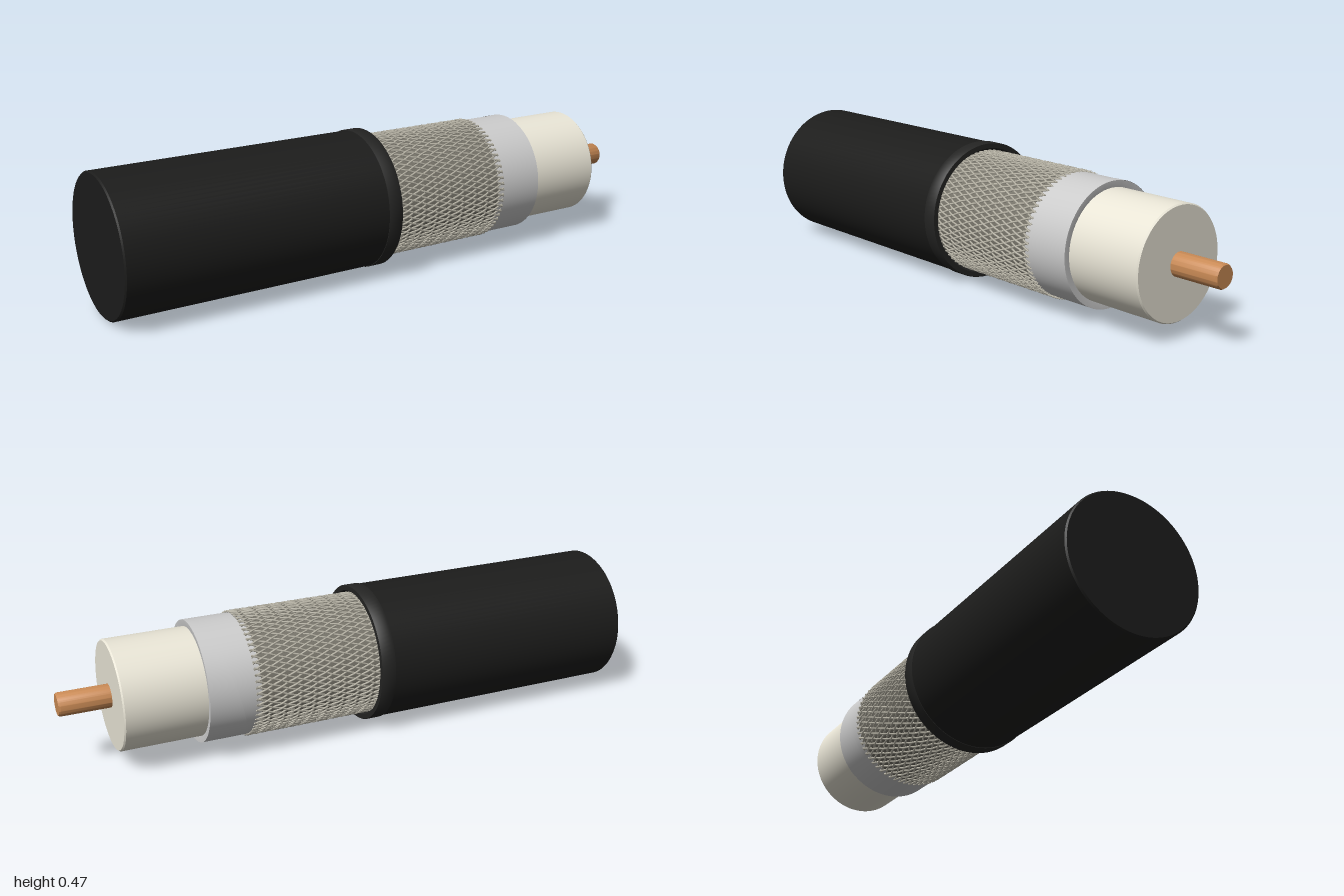
import * as THREE from 'three';
import { toCreasedNormals, mergeGeometries } from 'three/addons/utils/BufferGeometryUtils.js';

const mat = (color, side = THREE.FrontSide) => new THREE.MeshStandardMaterial({ color, side });

// Surface of revolution about the cable axis; profile points are [radius, position]
function turned(name, profile, material) {
  const pts = profile.map(([r, a]) => new THREE.Vector2(r, a));
  const mesh = new THREE.Mesh(toCreasedNormals(new THREE.LatheGeometry(pts, 96), 0.6), material);
  mesh.name = name;
  return mesh;
}

// One family of woven helical wires; dir is the winding direction
function braidWires(dir, from, to) {
  const count = 64, twist = 0.85, steps = 48, wires = [];
  for (let i = 0; i < count; i++) {
    const path = [];
    for (let s = 0; s <= steps; s++) {
      const t = s / steps;
      const angle = (i / count) * Math.PI * 2 + dir * twist * t;
      const r = 0.2085 + dir * 0.0018 * Math.cos(count * twist * t);
      path.push(new THREE.Vector3(r * Math.cos(angle), from + (to - from) * t, r * Math.sin(angle)));
    }
    wires.push(new THREE.TubeGeometry(new THREE.CatmullRomCurve3(path), steps, 0.0034, 5));
  }
  return mergeGeometries(wires);
}

// Overlapping foil layer: from a slanted seam to the foil's front edge
function foilOverlap() {
  const geo = new THREE.PlaneGeometry(1, 1, 48, 1);
  const p = geo.attributes.position;
  for (let i = 0; i < p.count; i++) {
    const t = p.getX(i) + 0.5;
    const angle = -2.4 + t * 2.75 - Math.PI / 2;
    const y = p.getY(i) > 0 ? 0.556 : 0.41 + 0.145 * t;
    // angle is measured about the axis, from the rear over the top to the front
    p.setXYZ(i, 0.2072 * Math.sin(angle), y, 0.2072 * Math.cos(angle));
  }
  geo.computeVertexNormals();
  return geo;
}

export function createModel() {
  const model = new THREE.Group();
  model.name = 'coaxialCable';
  const cable = new THREE.Group();
  cable.name = 'cableLayers';

  // Outer jacket, with a raised lip around its cut mouth
  cable.add(turned('outerJacket', [
    [0, -0.99], [0.23, -0.99], [0.2345, -0.985], [0.2345, -0.083],
  ], mat(0x1c1c1b)));
  cable.add(turned('jacketLip', [
    [0.234, -0.085], [0.2365, -0.085], [0.2375, -0.082], [0.2375, -0.038],
    [0.2355, -0.035], [0.219, -0.035], [0.216, -0.04], [0.205, -0.06],
  ], mat(0x242423)));

  // Braided shield over a dull backing sleeve
  cable.add(turned('braidBacking', [
    [0.2055, -0.07], [0.2055, 0.397], [0.19, 0.397],
  ], mat(0x77746a)));
  const wireMat = mat(0xbab6a8);
  for (const dir of [1, -1]) {
    const wires = new THREE.Mesh(braidWires(dir, -0.05, 0.401), wireMat);
    wires.name = dir > 0 ? 'braidWiresRight' : 'braidWiresLeft';
    cable.add(wires);
  }

  // Foil wrap with a slanted overlap
  cable.add(turned('foilWrap', [
    [0.2062, 0.38], [0.2062, 0.556], [0.203, 0.556], [0.183, 0.553],
  ], mat(0xd2d3d2)));
  const overlap = new THREE.Mesh(foilOverlap(), mat(0xd8d9d8, THREE.DoubleSide));
  overlap.name = 'foilOverlap';
  cable.add(overlap);

  // Dielectric core and copper conductor
  cable.add(turned('dielectricCore', [
    [0.184, 0.5], [0.184, 0.823], [0.18, 0.828], [0, 0.828],
  ], mat(0xe9e5d6)));
  cable.add(turned('centreConductor', [
    [0.039, 0.8], [0.039, 0.992], [0.035, 0.998], [0, 0.998],
  ], mat(0xc98a55)));

  // Lay the axis along x, turned slightly towards the front
  cable.rotation.z = -Math.PI / 2;
  const turn = new THREE.Group();
  turn.name = 'cable';
  turn.add(cable);
  turn.rotation.y = -0.042;
  turn.position.set(0, 0.2375, 0.018);
  model.add(turn);
  return model;
}
